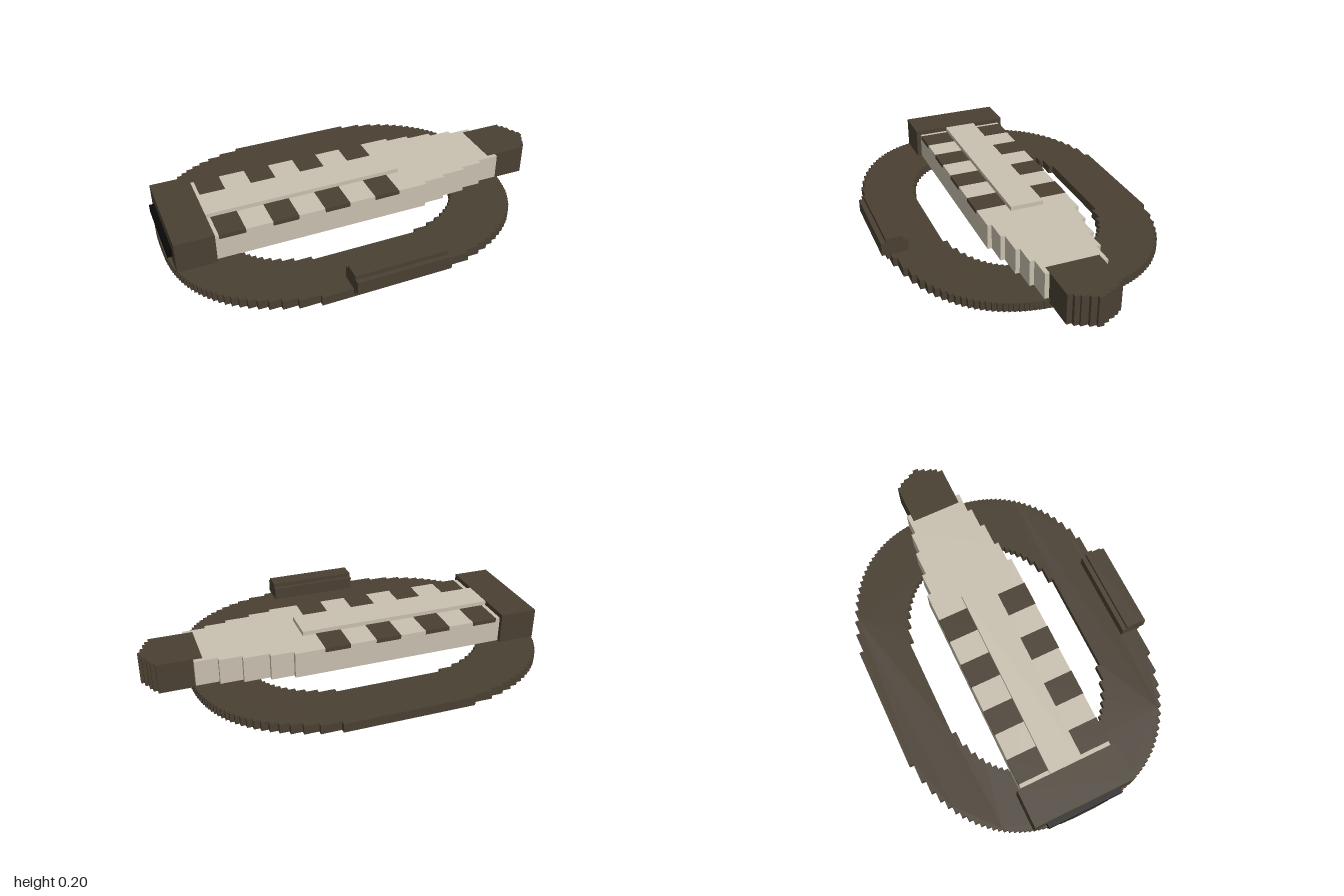
import * as THREE from 'three';

const brown = new THREE.MeshStandardMaterial({ color: 0x4a4033 });
brown.name = 'dark brown';
const cream = new THREE.MeshStandardMaterial({ color: 0xc9c1b0 });
cream.name = 'cream';
const black = new THREE.MeshStandardMaterial({ color: 0x080808 });
black.name = 'black';

// Box given by its limits on each axis
function box(name, material, [x0, x1], [y0, y1], [z0, z1]) {
  const mesh = new THREE.Mesh(new THREE.BoxGeometry(x1 - x0, y1 - y0, z1 - z0), material);
  mesh.position.set((x0 + x1) / 2, (y0 + y1) / 2, (z0 + z1) / 2);
  mesh.name = name;
  return mesh;
}

// Flat plan outline (x, z) raised from y0 to y1
function slab(name, material, shape, y0, y1) {
  const geometry = new THREE.ExtrudeGeometry(shape, { depth: y1 - y0, bevelEnabled: false });
  geometry.rotateX(Math.PI / 2);
  geometry.translate(0, y1, 0);
  const mesh = new THREE.Mesh(geometry, material);
  mesh.name = name;
  return mesh;
}

// Rounded oval cut into square steps along z
function steppedOval(cx, cz, a, b, rows) {
  const right = [];
  const step = (2 * b) / rows;
  for (let i = 0; i < rows; i++) {
    const near = -b + i * step, far = near + step;
    const v = Math.min(Math.abs(near), Math.abs(far)) / b;
    const half = a * Math.pow(1 - Math.pow(v, 2.5), 0.4);
    right.push([half, near], [half, far]);
  }
  const left = right.map(([x, z]) => [-x, z]).reverse();
  return [...right, ...left].map(([x, z]) => new THREE.Vector2(cx + x, cz + z));
}

// Outline mirrored about z = cz, from [xStart, xEnd, halfWidth] steps
function steppedTaper(steps, cz) {
  const side = [];
  for (const [x0, x1, half] of steps) side.push([x0, half], [x1, half]);
  const other = side.map(([x, h]) => [x, -h]).reverse();
  return new THREE.Shape([...side, ...other].map(([x, h]) => new THREE.Vector2(x, cz + h)));
}

export function createModel() {
  const model = new THREE.Group();
  model.name = 'device';
  const axis = -0.025;

  // Oval base ring
  const ring = new THREE.Shape(steppedOval(-0.11, -0.021, 0.89, 0.674, 62));
  ring.holes.push(new THREE.Path(steppedOval(-0.11, -0.025, 0.61, 0.415, 38)));
  model.add(slab('baseRing', brown, ring, 0, 0.045));

  // Pale body, narrowing in steps towards the tip
  const body = steppedTaper([
    [-0.8, 0.3, 0.238], [0.3, 0.413, 0.217], [0.413, 0.54, 0.196],
    [0.54, 0.65, 0.174], [0.65, 0.762, 0.152],
  ], axis);
  model.add(slab('body', cream, body, 0.044, 0.175));

  // Dark nose cap with a stepped point
  const nose = steppedTaper([
    [0.718, 0.935, 0.13], [0.935, 0.955, 0.105], [0.955, 0.968, 0.08],
    [0.968, 0.985, 0.045], [0.985, 1, 0.015],
  ], axis);
  model.add(slab('noseCap', brown, nose, 0.025, 0.177));

  // Tail block with its slot plate
  model.add(box('tailBlock', brown, [-0.975, -0.785], [0.04, 0.199], [-0.285, 0.236]));
  model.add(box('tailSlot', black, [-1, -0.97], [0.09, 0.13], [-0.22, 0.17]));

  // Raised strip along the top
  model.add(box('topStrip', cream, [-0.79, 0.215], [0.17, 0.197], [-0.11, 0.06]));

  // Dark bands either side of the strip, folded over the body edge
  for (let i = 0; i < 4; i++) {
    const x = -0.762 + i * 0.261;
    for (const s of [-1, 1]) {
      const z = [axis + s * 0.085, axis + s * 0.24].sort((a, b) => a - b);
      model.add(box('band', brown, [x, x + 0.128], [0.156, 0.177], z));
    }
  }

  // Side grip on the front of the ring
  const grip = new THREE.Group();
  grip.name = 'sideGrip';
  grip.add(box('gripCore', brown, [-0.283, 0.171], [0.022, 0.13], [0.588, 0.671]));
  grip.add(box('gripFlange', brown, [-0.283, 0.171], [0.045, 0.109], [0.565, 0.695]));
  model.add(grip);

  return model;
}
